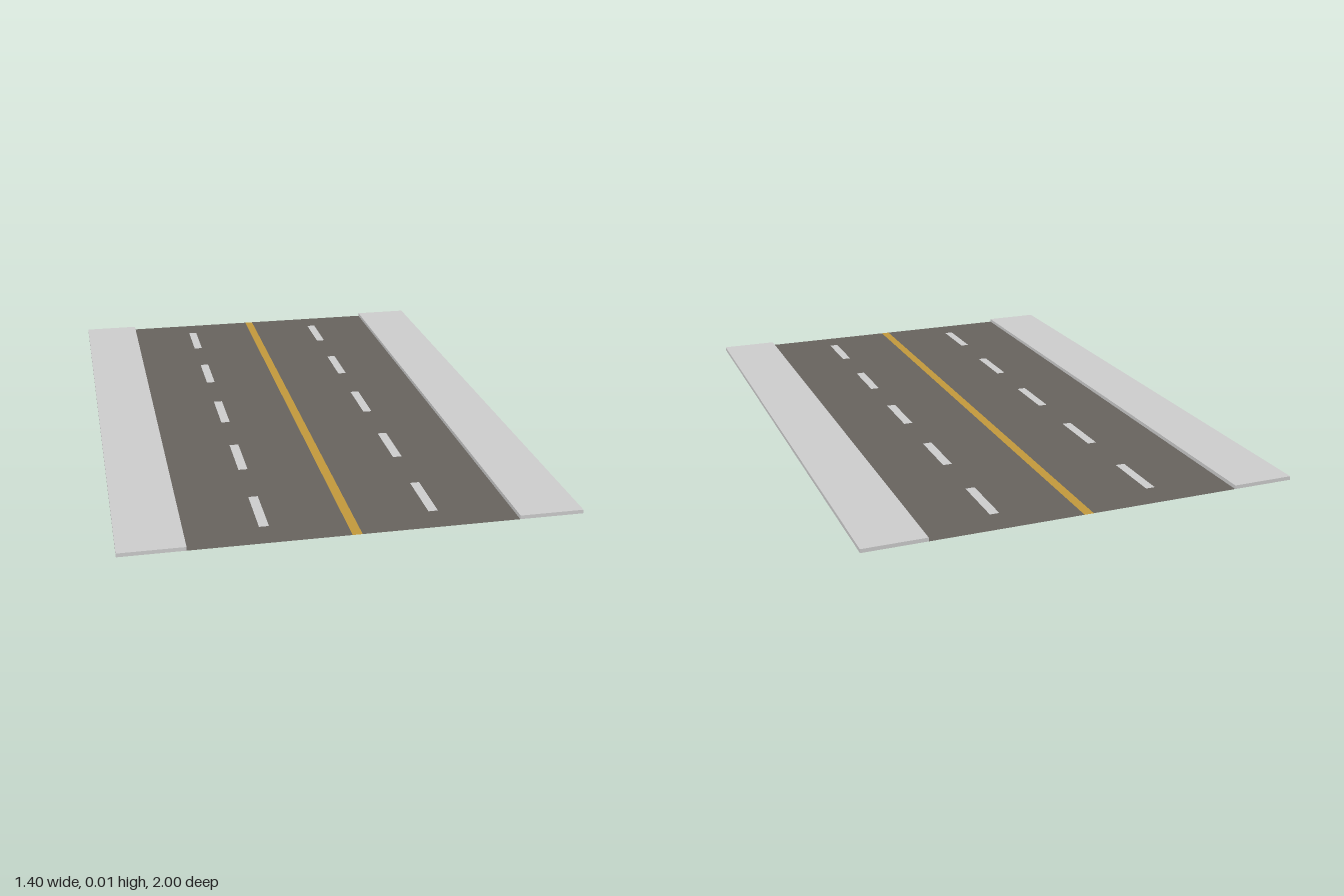
import * as THREE from 'three';

export function createModel() {
  const road = new THREE.Group();
  road.name = 'road';

  const asphalt = new THREE.MeshStandardMaterial({ name: 'asphalt grey', color: 0x68645f, side: THREE.DoubleSide });
  const yellow = new THREE.MeshStandardMaterial({ name: 'line yellow', color: 0xc49a3c, side: THREE.DoubleSide });
  const pale = new THREE.MeshStandardMaterial({ name: 'pale grey', color: 0xcecece });

  const add = (name, geometry, material, x, y, z) => {
    const mesh = new THREE.Mesh(geometry, material);
    mesh.name = name;
    mesh.position.set(x, y, z);
    road.add(mesh);
  };
  // Flat sheet facing up
  const sheet = (width, length) => new THREE.PlaneGeometry(width, length).rotateX(-Math.PI / 2);

  const length = 2, roadHalf = 0.5, lineHalf = 0.015, kerb = 0.012;

  // Centre line, flush between the two carriageways
  add('centreLine', sheet(lineHalf * 2, length), yellow, 0, 0, 0);

  for (const [side, s] of [['left', 1], ['right', -1]]) {
    // Carriageway
    add(side + 'Carriageway', sheet(roadHalf - lineHalf, length), asphalt, s * (roadHalf + lineHalf) / 2, 0, 0);
    // Raised pavement
    add(side + 'Pavement', new THREE.BoxGeometry(0.2, kerb, length), pale, s * 0.6, kerb / 2, 0);
    // Lane dashes, painted on the upper face
    for (let i = -2; i <= 2; i++) {
      add(side + 'LaneDash', sheet(0.03, 0.2), pale, s * 0.26, 0.001, i * 0.4);
    }
  }
  return road;
}
